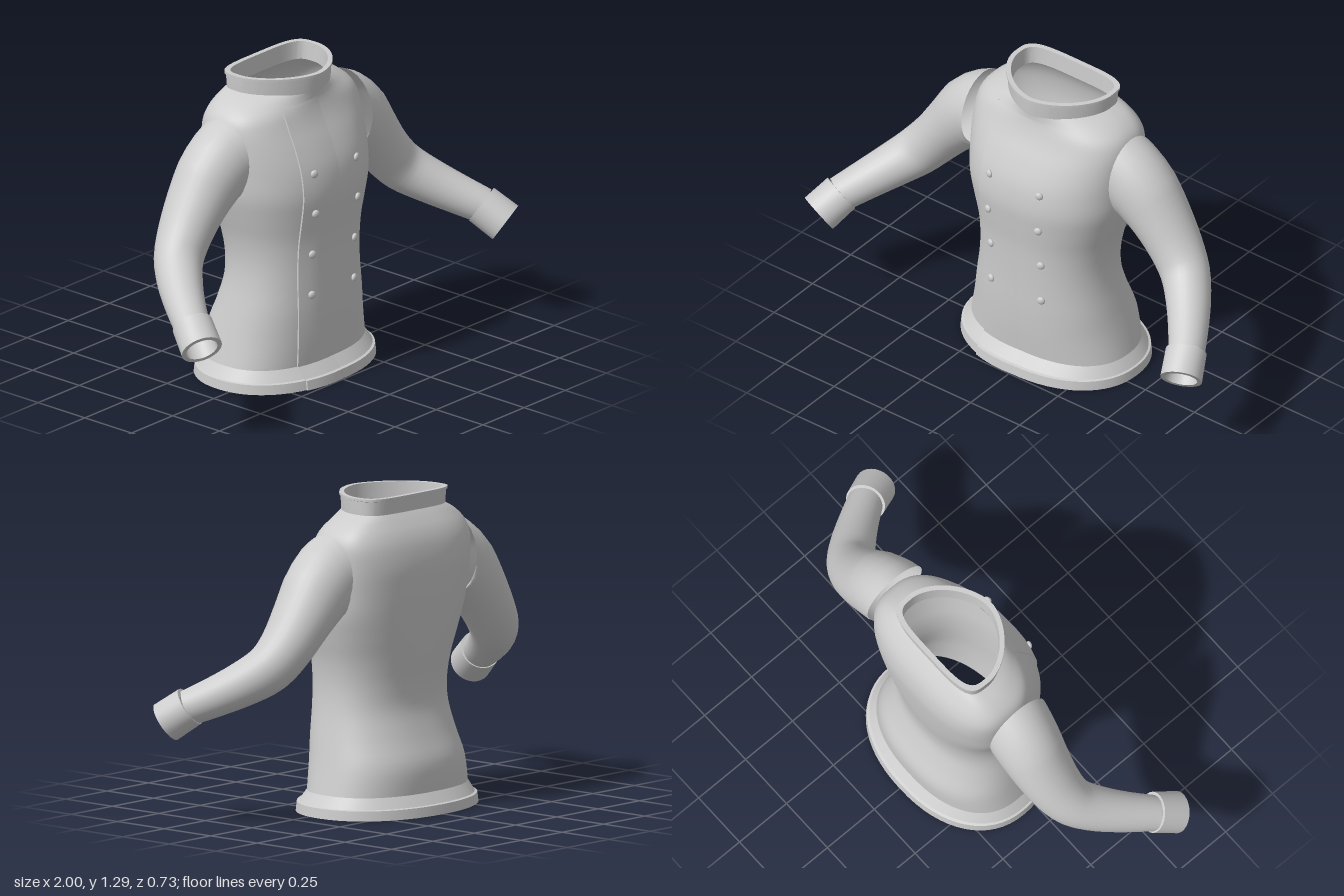
import * as THREE from 'three';
import { toCreasedNormals } from 'three/addons/utils/BufferGeometryUtils.js';

const cloth = new THREE.MeshStandardMaterial({ color: 0xcccccc, side: THREE.DoubleSide });
cloth.name = 'light grey cloth';

// Body sections: y, half width, front z, back z, widest z, front power, back power
const BODY = [
  [0.085, 0.37, 0.19, -0.315, -0.06, 2.3, 2.3],
  [0.20, 0.345, 0.2, -0.315, -0.06, 2.3, 2.3],
  [0.31, 0.322, 0.205, -0.275, -0.04, 2.3, 2.3],
  [0.42, 0.302, 0.206, -0.242, -0.03, 2.3, 2.3],
  [0.52, 0.296, 0.208, -0.243, -0.03, 2.3, 2.3],
  [0.62, 0.308, 0.212, -0.258, -0.04, 2.3, 2.3],
  [0.72, 0.335, 0.222, -0.272, -0.05, 2.3, 2.4],
  [0.82, 0.36, 0.229, -0.283, -0.06, 2.3, 2.5],
  [0.92, 0.368, 0.215, -0.292, -0.07, 2.3, 2.6],
  [1.01, 0.372, 0.18, -0.295, -0.08, 2.4, 2.7],
  [1.09, 0.37, 0.14, -0.283, -0.09, 2.5, 2.8],
  [1.145, 0.35, 0.118, -0.262, -0.09, 2.4, 2.9],
  [1.19, 0.3, 0.108, -0.232, -0.1, 2.0, 3.2],
  [1.222, 0.238, 0.112, -0.206, -0.1, 1.7, 4],
];
const HEM = [
  [0, 0.412, 0.245, -0.365, -0.06, 2.2, 2.2],
  [0.04, 0.408, 0.24, -0.36, -0.06, 2.2, 2.2],
  [0.043, 0.4, 0.228, -0.348, -0.06, 2.2, 2.2],
  [0.09, 0.368, 0.188, -0.313, -0.06, 2.3, 2.3],
];
const collarRow = (y, grow) => [y, 0.238 + grow, 0.118 + grow, -0.206 - grow, -0.1, 1.7, 4];
const COLLAR = [
  collarRow(1.215, 0), collarRow(1.278, 0.004), collarRow(1.28, 0.009),
  collarRow(1.29, 0.009), collarRow(1.29, -0.012), collarRow(1.215, -0.016),
];

// Smoothly interpolated section at row position t
function sectionAt(rows, t) {
  const i = Math.min(Math.floor(t), rows.length - 2), f = t - i;
  const row = (k) => rows[THREE.MathUtils.clamp(k, 0, rows.length - 1)];
  return rows[0].map((_, c) => {
    const [a, b, d, e] = [row(i - 1)[c], row(i)[c], row(i + 1)[c], row(i + 2)[c]];
    return b + 0.5 * f * (d - a + f * (2 * a - 5 * b + 4 * d - e + f * (3 * (b - d) + e - a)));
  });
}

// One closed oval with its own front and back roundness
function oval([y, w, zf, zb, z0, nf, nb], count = 64) {
  return Array.from({ length: count }, (_, j) => {
    const a = (j / count) * Math.PI * 2, c = Math.cos(a), s = Math.sin(a);
    const p = 2 / (s > 0 ? nf : nb);
    const depth = s > 0 ? zf - z0 : z0 - zb;
    return new THREE.Vector3(
      w * Math.sign(c) * Math.abs(c) ** p, y, z0 + depth * Math.sign(s) * Math.abs(s) ** p);
  });
}

function frontZ([, w, zf, , z0, nf], x) {
  return z0 + (zf - z0) * Math.max(0, 1 - Math.abs(x / w) ** nf) ** (1 / nf);
}

// Skin over a list of rings (arrays of points)
function loft(rings, closed = true, crease = 0.6) {
  const n = rings[0].length, index = [];
  for (let i = 0; i < rings.length - 1; i++) {
    for (let j = 0; j < (closed ? n : n - 1); j++) {
      const a = i * n + j, b = i * n + (j + 1) % n;
      index.push(a, a + n, b, b, a + n, b + n);
    }
  }
  const g = new THREE.BufferGeometry().setFromPoints(rings.flat());
  g.setIndex(index);
  return toCreasedNormals(g, crease);
}

// Circle-like ring across a direction
function tubeRing(c, dir, up, depth, count = 28) {
  const n = dir.clone().normalize();
  const v = new THREE.Vector3(0, 0, 1).addScaledVector(n, -n.z).normalize();
  const u = n.clone().cross(v);
  return Array.from({ length: count }, (_, j) => {
    const a = (j / count) * Math.PI * 2;
    return c.clone().addScaledVector(u, up * Math.cos(a)).addScaledVector(v, depth * Math.sin(a));
  });
}

// Sleeve: centre x, y, z, radius up, radius in depth
const SLEEVE = [
  [0.375, 0.985, -0.065, 0.165, 0.145],
  [0.45, 0.915, -0.07, 0.145, 0.138],
  [0.53, 0.825, -0.07, 0.122, 0.126],
  [0.61, 0.725, -0.06, 0.108, 0.112],
  [0.68, 0.645, -0.03, 0.102, 0.1],
  [0.75, 0.585, 0.04, 0.092, 0.092],
  [0.82, 0.53, 0.13, 0.082, 0.082],
  [0.885, 0.48, 0.225, 0.073, 0.073],
];

function sleeveRings() {
  const steps = 21;
  const rings = [];
  const point = (t) => new THREE.Vector3(...sectionAt(SLEEVE, t).slice(0, 3));
  for (let k = 0; k <= steps; k++) {
    const t = (k / steps) * (SLEEVE.length - 1);
    const dir = point(Math.min(t + 0.4, SLEEVE.length - 1)).sub(point(Math.max(t - 0.4, 0))).normalize();
    dir.lerp(new THREE.Vector3(1, 0, 0), Math.max(0, 1 - t)); // upright armhole
    const s = sectionAt(SLEEVE, t);
    rings.push(tubeRing(point(t), dir, s[3], s[4]));
  }
  return rings;
}

function cuffRings() {
  const start = new THREE.Vector3(0.878, 0.487, 0.218), end = new THREE.Vector3(0.922, 0.418, 0.308);
  const dir = end.clone().sub(start);
  return [[0, 0.068], [0, 0.083], [1, 0.085], [1, 0.066], [0.1, 0.06]]
    .map(([t, r]) => tubeRing(start.clone().lerp(end, t), dir, r, r));
}

// Mirror a ring to the other side, keeping it facing outward
const mirrored = (ring) => ring.map((p) => new THREE.Vector3(-p.x, p.y, p.z)).reverse();

export function createModel() {
  const model = new THREE.Group();
  model.name = 'jacket';
  const add = (name, geometry, parent = model) => {
    const mesh = new THREE.Mesh(geometry, cloth);
    mesh.name = name;
    parent.add(mesh);
    return mesh;
  };

  // Body, hem and standing collar
  const bodySteps = 52;
  const bodySections = Array.from({ length: bodySteps + 1 }, (_, k) =>
    sectionAt(BODY, (k / bodySteps) * (BODY.length - 1)));
  add('body', loft(bodySections.map((s) => oval(s)), true, 1.2));
  add('hemBand', loft(HEM.map((s) => oval(s)), true, 0.35));
  add('collar', loft(COLLAR.map((s) => oval(s)), true, 0.6));

  // Overlapping front flap: a raised edge on one side that sinks into the body
  const flapX = [-0.185, -0.185, -0.14, -0.09, -0.04, 0.01, 0.06];
  const flapLift = [-0.004, 0.007, 0.006, 0.005, 0.003, 0.0, -0.004];
  const flapRow = (s) => flapX.map((x, i) =>
    new THREE.Vector3(x, s[0], frontZ(s, x) + flapLift[i])).reverse();
  add('frontFlap', loft(bodySections.filter((s) => s[0] < 1.19).map(flapRow), false));
  add('hemFlap', loft(HEM.map(flapRow), false));

  // Two columns of buttons
  const buttons = new THREE.Group();
  buttons.name = 'buttons';
  model.add(buttons);
  for (const y of [0.39, 0.565, 0.745, 0.915]) {
    const s = bodySections.reduce((a, b) => (Math.abs(b[0] - y) < Math.abs(a[0] - y) ? b : a));
    for (const x of [-0.13, 0.125]) {
      const button = add('button', new THREE.SphereGeometry(0.017, 14, 10), buttons);
      button.scale.z = 0.6;
      button.position.set(x, y, frontZ(s, x) + 0.009);
      button.rotation.y = x * 2.5;
    }
  }

  // Sleeves with cuffs
  for (const side of ['left', 'right']) {
    const place = (rings) => (side === 'left' ? rings : rings.map(mirrored));
    add(side + 'Sleeve', loft(place(sleeveRings()), true, 1.2));
    add(side + 'Cuff', loft(place(cuffRings()), true, 0.6));
  }
  return model;
}
